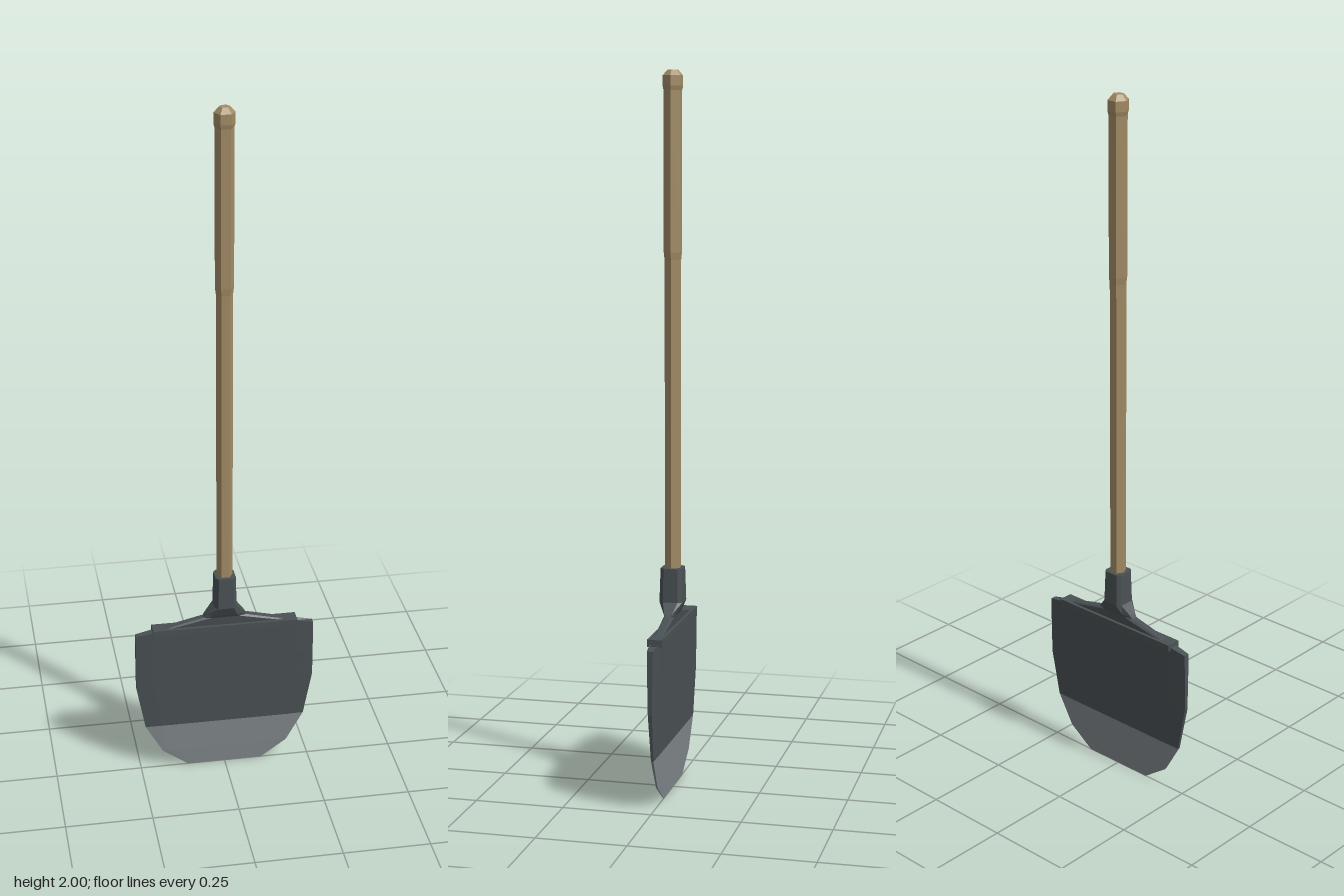
import * as THREE from 'three';

const wood = new THREE.MeshStandardMaterial({ color: 0xa38c66 });
const darkSteel = new THREE.MeshStandardMaterial({ color: 0x4a5154 });
const brightSteel = new THREE.MeshStandardMaterial({ color: 0x80878a });
wood.name = 'wood';
darkSteel.name = 'darkSteel';
brightSteel.name = 'brightSteel';

// Eight-sided section: half sizes hx, hz, with corners cut back to ix, iz
function ring(y, hx, hz, ix, iz) {
  return [[-ix, hz], [ix, hz], [hx, iz], [hx, -iz], [ix, -hz], [-ix, -hz], [-hx, -iz], [-hx, iz]]
    .map(([x, z]) => [x, y, z]);
}

function faceted(geometry) {
  const flat = geometry.index ? geometry.toNonIndexed() : geometry;
  flat.computeVertexNormals();
  return flat;
}

// Skin over rings listed from bottom to top, closed at both ends
function loft(rings) {
  const n = rings[0].length;
  const index = [];
  for (let i = 0; i < rings.length - 1; i++) {
    for (let j = 0; j < n; j++) {
      const a = i * n + j, b = i * n + (j + 1) % n;
      index.push(a, b, b + n, a, b + n, a + n);
    }
  }
  const top = (rings.length - 1) * n;
  for (let j = 1; j < n - 1; j++) {
    index.push(0, j + 1, j, top, top + j, top + j + 1);
  }
  const geometry = new THREE.BufferGeometry();
  geometry.setAttribute('position', new THREE.Float32BufferAttribute(rings.flat(2), 3));
  geometry.setIndex(index);
  return faceted(geometry);
}

export function createModel() {
  const group = new THREE.Group();
  const add = (name, geometry, material) => {
    const mesh = new THREE.Mesh(geometry, material);
    mesh.name = name;
    group.add(mesh);
    return mesh;
  };

  // Six-sided shaft with a slightly thicker grip and a domed end
  const profile = [
    [0, 0.56], [0.023, 0.56], [0.0235, 1.49], [0.026, 1.51], [0.026, 1.945],
    [0.029, 1.957], [0.029, 1.985], [0.015, 2], [0, 2],
  ].map(([r, y]) => new THREE.Vector2(r, y));
  const shaft = add('handle', faceted(new THREE.LatheGeometry(profile, 6)), wood);
  shaft.rotation.y = Math.PI / 6;

  // Socket flaring into the shoulders of the blade
  add('socket', loft([
    ring(0.462, 0.2, 0.011, 0.19, 0.009),
    ring(0.478, 0.168, 0.012, 0.15, 0.009),
    ring(0.503, 0.062, 0.015, 0.04, 0.009),
    ring(0.512, 0.056, 0.02, 0.034, 0.011),
    ring(0.54, 0.032, 0.033, 0.023, 0.021),
    ring(0.635, 0.029, 0.03, 0.021, 0.02),
  ]), darkSteel);

  // Foot rest across the top of the blade
  const tread = add('footRest', new THREE.BoxGeometry(0.42, 0.02, 0.042), darkSteel);
  tread.position.y = 0.467;

  // Blade, thinning towards its sides and its cutting edge
  const bladeRing = (y, w, t) => ring(y, w, t, w * 0.8, t * 0.7);
  const seam = bladeRing(0.145, 0.235, 0.005);
  const shoulder = bladeRing(0.457, 0.259, 0.012)
    .map(([x, y, z]) => [x, Math.abs(x) < 0.25 ? y + 0.01 : y, z]);
  add('blade', loft([
    seam, bladeRing(0.28, 0.26, 0.008), bladeRing(0.36, 0.26, 0.01), shoulder,
  ]), darkSteel);
  add('cuttingEdge', loft([
    bladeRing(0, 0.11, 0.001), bladeRing(0.055, 0.185, 0.003), seam,
  ]), brightSteel);

  return group;
}
